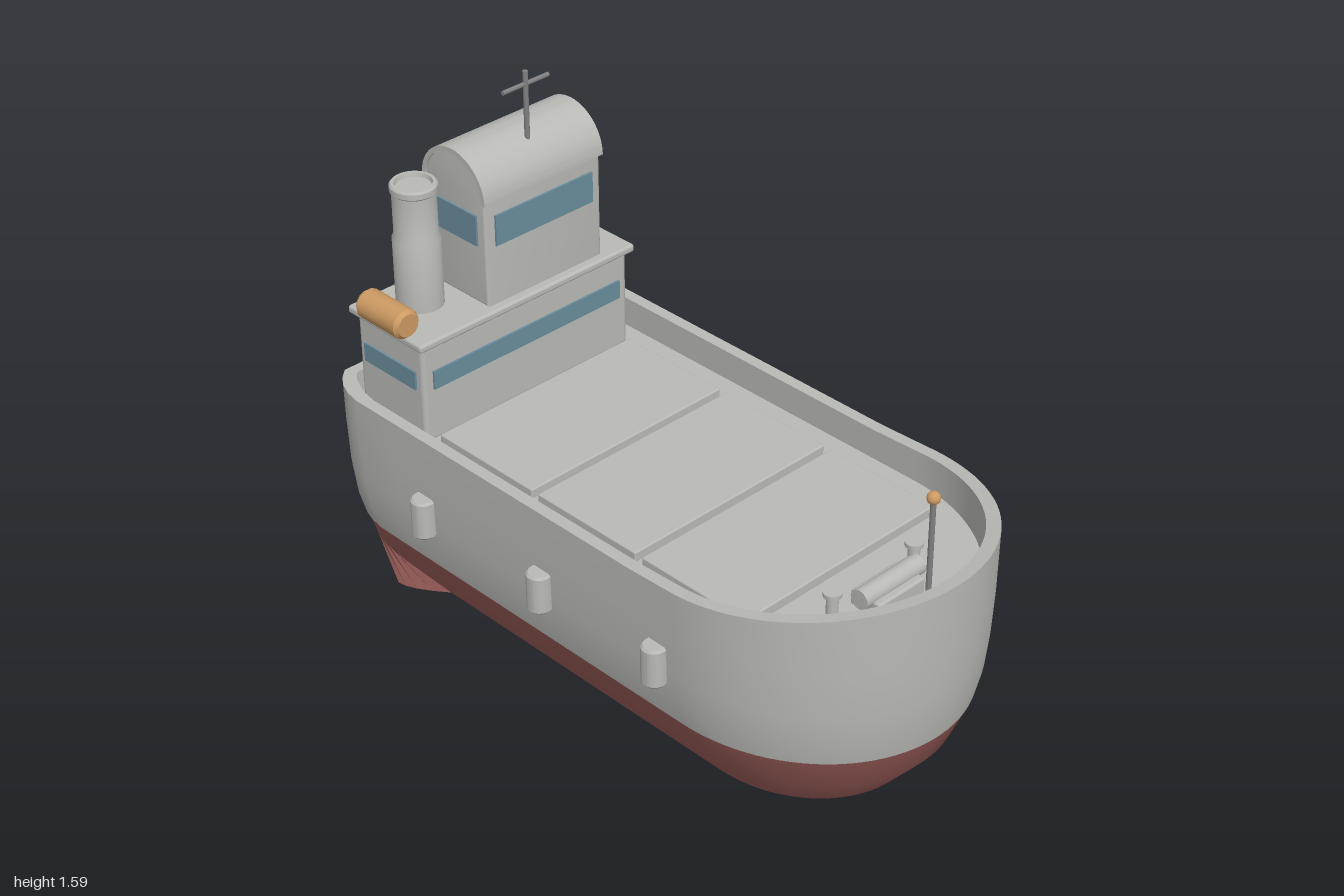
import * as THREE from 'three';
import { toCreasedNormals } from 'three/addons/utils/BufferGeometryUtils.js';
import { RoundedBoxGeometry } from 'three/addons/geometries/RoundedBoxGeometry.js';

const mat = (name, color) => {
  const m = new THREE.MeshStandardMaterial({ color });
  m.name = name;
  return m;
};

// Sheer line: flat amidships, rising towards the bow
const sheer = x => 0.695 + 0.075 * Math.pow(Math.max(0, (x - 0.3) / 0.7), 1.6);

// Closed plan outline: round bow, straight sides, cut stern corners, flat transom
function ring(y, xs, xb, w, tw) {
  const xc = 0.45, half = [];
  for (let i = 0; i <= 24; i++) {
    const a = (i / 24) * Math.PI / 2;
    half.push([xc + (xb - xc) * Math.cos(a), w * Math.sin(a)]);
  }
  const x1 = xs + 0.15;
  for (let i = 1; i <= 8; i++) half.push([xc + (x1 - xc) * i / 8, w]);
  for (let i = 1; i <= 4; i++) {
    const t = i / 4, u = 1 - t, cz = Math.max(w - 0.01, tw);
    half.push([
      u * u * x1 + 2 * u * t * (xs + 0.05) + t * t * xs,
      u * u * w + 2 * u * t * cz + t * t * tw
    ]);
  }
  const mirrored = half.slice(1).reverse().map(([x, z]) => [x, -z]);
  return [...half, ...mirrored].map(([x, z]) => [x, typeof y === 'function' ? y(x) : y, z]);
}

// Skin between rings, with a flat cap on the top or the bottom
function loft(rings, cap) {
  const n = rings[0].length, H = (n + 1) / 2, idx = [];
  for (let r = 0; r < rings.length - 1; r++) {
    for (let i = 0; i < n; i++) {
      const j = (i + 1) % n, a = r * n + i, b = r * n + j, c = b + n, d = a + n;
      idx.push(a, d, c, a, c, b);
    }
  }
  const base = cap === 'top' ? (rings.length - 1) * n : 0;
  const tri = (a, b, c) => cap === 'top'
    ? idx.push(base + a, base + b, base + c)
    : idx.push(base + a, base + c, base + b);
  for (let i = 0; i < H - 1; i++) {
    const m = (n - i) % n, m1 = n - i - 1;
    if (i > 0) tri(i, m, i + 1);
    tri(m, m1, i + 1);
  }
  const g = new THREE.BufferGeometry();
  g.setAttribute('position', new THREE.Float32BufferAttribute(rings.flat(2), 3));
  g.setIndex(idx);
  return toCreasedNormals(g, 0.5);
}

export function createModel() {
  const ship = new THREE.Group();
  ship.name = 'cargoShip';
  const grey = mat('paintedSteel', 0xb9b9b6);
  const red = mat('bottomRed', 0x985c58);
  const glass = mat('windowBlue', 0x6a8d9c);
  const orange = mat('safetyOrange', 0xcd9a62);
  const dark = mat('mastGrey', 0x808082);

  const add = (name, geo, m, x = 0, y = 0, z = 0, parent = ship) => {
    const mesh = new THREE.Mesh(geo, m);
    mesh.name = name;
    mesh.position.set(x, y, z);
    parent.add(mesh);
    return mesh;
  };
  // Box given by its extents
  const block = (name, m, x0, x1, y0, y1, z0, z1, r = 0) => {
    const s = [x1 - x0, y1 - y0, z1 - z0];
    const geo = r ? new RoundedBoxGeometry(...s, 3, r) : new THREE.BoxGeometry(...s);
    return add(name, geo, m, (x0 + x1) / 2, (y0 + y1) / 2, (z0 + z1) / 2);
  };
  const lathe = (pts, seg = 32) => toCreasedNormals(
    new THREE.LatheGeometry(pts.map(p => new THREE.Vector2(...p)), seg), 0.5);

  // Hull: red bottom, then grey sides, bulwark and deck
  const waterline = ring(0.25, -0.965, 0.965, 0.458, 0.4);
  add('hullBottom', loft([
    ring(0, -0.84, 0.81, 0.31, 0.39),
    ring(0.13, -0.925, 0.915, 0.41, 0.385),
    waterline
  ], 'bottom'), red);
  add('hullSidesAndDeck', loft([
    waterline,
    ring(0.32, -0.98, 0.98, 0.475, 0.405),
    ring(0.42, -0.99, 0.99, 0.485, 0.41),
    ring(0.56, -0.997, 0.997, 0.489, 0.41),
    ring(sheer, -1, 1, 0.49, 0.41),
    ring(sheer, -0.965, 0.957, 0.453, 0.39),
    ring(0.6, -0.965, 0.957, 0.453, 0.39)
  ], 'top'), grey);

  // Hatch covers
  for (let i = 0; i < 3; i++) {
    const x = -0.625 + i * 0.415;
    block('hatchCover', grey, x, x + 0.39, 0.59, 0.63, -0.37, 0.37, 0.005);
  }

  // Side fenders
  const fender = lathe([[0, -0.063], [0.031, -0.063], [0.037, -0.056],
    [0.037, 0.056], [0.031, 0.063], [0, 0.063]], 24);
  for (const x of [-0.56, -0.07, 0.383])
    for (const s of [-1, 1]) add('fender', fender, grey, x, 0.442, s * 0.497);

  // Lower deckhouse with its overhanging roof
  block('deckhouse', grey, -0.94, -0.655, 0.59, 0.91, -0.395, 0.395, 0.015);
  block('deckhouseRoof', grey, -0.96, -0.637, 0.908, 0.934, -0.412, 0.412, 0.009);

  // Wheelhouse with a barrel roof
  const cx = -0.793, cy = 1.263, r = 0.117;
  const wall = new THREE.Shape();
  wall.moveTo(-r, 0.942);
  wall.lineTo(r, 0.942);
  wall.lineTo(r, cy);
  wall.absarc(0, cy, r, 0, Math.PI, false);
  wall.closePath();
  const wallGeo = new THREE.ExtrudeGeometry(wall, {
    depth: 0.42, bevelThickness: 0.01, bevelSize: 0.01, bevelSegments: 3, curveSegments: 24
  });
  add('wheelhouse', toCreasedNormals(wallGeo, 0.6), grey, cx, 0, -0.295);
  const arch = new THREE.Shape();
  arch.absarc(0, cy, 0.135, 0, Math.PI, false);
  arch.absarc(0, cy, 0.12, Math.PI, 0, true);
  const archGeo = new THREE.ExtrudeGeometry(arch, { depth: 0.45, bevelEnabled: false, curveSegments: 24 });
  add('wheelhouseRoof', toCreasedNormals(archGeo, 0.6), grey, cx, 0, -0.31);

  // Window bands on all four sides of a house
  const windows = (name, x0, x1, z0, z1, y0, y1, inX, inZ) => {
    const t = 0.0045;
    for (const x of [x0, x1])
      block(name + 'EndWindow', glass, x - t, x + t, y0, y1, z0 + inZ, z1 - inZ);
    for (const z of [z0, z1])
      block(name + 'SideWindow', glass, x0 + inX, x1 - inX, y0, y1, z - t, z + t);
  };
  windows('deckhouse', -0.942, -0.653, -0.397, 0.397, 0.765, 0.825, 0.032, 0.037);
  windows('wheelhouse', -0.922, -0.664, -0.307, 0.137, 1.123, 1.22, 0.035, 0.037);

  // Funnel
  add('funnel', lathe([[0, 0.93], [0.07, 0.93], [0.07, 1.15], [0.064, 1.165], [0.064, 1.295],
    [0.069, 1.3], [0.069, 1.317], [0.064, 1.323], [0.055, 1.323], [0.052, 1.31], [0, 1.31]]),
    grey, -0.828, 0, 0.252);

  // Life raft canister
  const raft = lathe([[0, -0.093], [0.036, -0.093], [0.046, -0.08],
    [0.046, 0.08], [0.036, 0.093], [0, 0.093]], 14);
  add('lifeRaft', raft, orange, -0.783, 0.98, 0.408).rotation.z = Math.PI / 2;

  // Mast with crossbar
  add('mast', new THREE.CylinderGeometry(0.008, 0.008, 0.22, 12), dark, -0.724, 1.475, -0.083);
  add('mastCrossbar', new THREE.CylinderGeometry(0.007, 0.007, 0.17, 12), dark, -0.724, 1.545, -0.083)
    .rotation.x = Math.PI / 2;

  // Bow light on its post
  add('bowPost', new THREE.CylinderGeometry(0.008, 0.008, 0.38, 12), dark, 0.895, 0.785, 0);
  add('bowLight', new THREE.SphereGeometry(0.019, 16, 12), orange, 0.895, 0.987, 0);

  // Windlass and bollards on the foredeck
  block('windlassBase', grey, 0.705, 0.81, 0.595, 0.645, -0.09, 0.09, 0.008);
  add('windlassDrum', new THREE.CylinderGeometry(0.03, 0.03, 0.23, 20), grey, 0.759, 0.65, 0)
    .rotation.x = Math.PI / 2;
  const bollard = lathe([[0, 0], [0.017, 0], [0.017, 0.058], [0.026, 0.062],
    [0.026, 0.075], [0, 0.075]], 20);
  for (const s of [-1, 1]) add('bollard', bollard, grey, 0.706, 0.598, s * 0.16);

  return ship;
}
